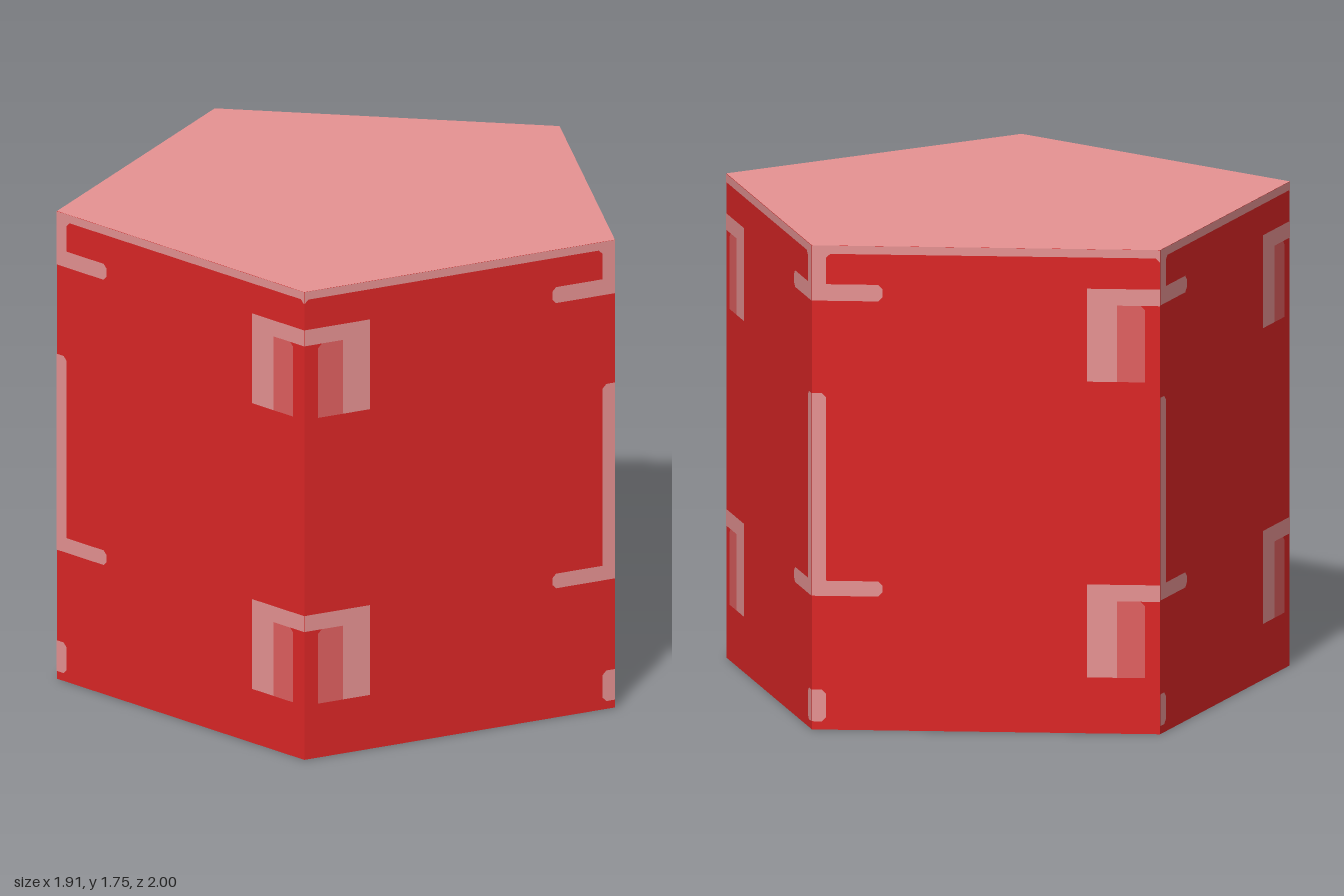
import * as THREE from 'three';

const R = 1.0515, H = 1.755, SIDES = 5;
const W = 2 * R * Math.sin(Math.PI / SIDES);      // width of one wall
const APOTHEM = R * Math.cos(Math.PI / SIDES);
const LIFT = 0.002;                               // painted plates sit just off the wall
const C = 0.015;                                  // small corner cut

const make = (name, color) => {
  const m = new THREE.MeshStandardMaterial({ color });
  m.name = name;
  return m;
};

export function createModel() {
  const red = make('red', 0xdc2626);
  const pale = make('pale pink', 0xe89393);
  const mid = make('rose', 0xe16060);

  const model = new THREE.Group();
  model.name = 'pentagonalBlock';
  const prism = new THREE.Group();
  prism.name = 'prism';
  prism.position.x = 0.951 - R;
  model.add(prism);

  // Solid body: red walls and base, pale top
  const bodyGeo = new THREE.CylinderGeometry(R, R, H, SIDES, 1, false, Math.PI / 2).toNonIndexed();
  bodyGeo.computeVertexNormals();
  const body = new THREE.Mesh(bodyGeo, [red, pale, red]);
  body.name = 'body';
  body.position.y = H / 2;
  prism.add(body);

  // Walls run round from the front right; dir = 1 puts the bracket edge on the left
  [-1, 1, 1, 1, -1].forEach((dir, i) => {
    const wall = new THREE.Group();
    wall.name = `wallMarkings${i + 1}`;
    wall.rotation.y = Math.PI / 2 - (i + 0.5) * 2 * Math.PI / SIDES;
    prism.add(wall);

    // Flat painted plate; u runs from the bracket edge across the wall
    const plate = (name, material, points) => {
      const shape = new THREE.Shape(points.map(([u, y]) => new THREE.Vector2(dir * (u - W / 2), y)));
      const mesh = new THREE.Mesh(new THREE.ShapeGeometry(shape), material);
      mesh.name = name;
      mesh.position.z = APOTHEM + LIFT;
      wall.add(mesh);
    };

    // Top trim joined to the upper bracket
    plate('topTrim', pale, [
      [0, H], [W, H], [W, 1.725 - C], [W - C, 1.725], [0.05 + C, 1.725], [0.05, 1.725 - C],
      [0.05, 1.615], [0.25 - C, 1.615], [0.25, 1.615 - C], [0.25, 1.555 + C],
      [0.25 - C, 1.555], [0, 1.555],
    ]);
    // Long bracket along the edge
    plate('edgeBracket', pale, [
      [0, 0.485], [0.25 - C, 0.485], [0.25, 0.485 + C], [0.25, 0.54 - C], [0.25 - C, 0.54],
      [0.05, 0.54], [0.05, 1.22 - C], [0.05 - C, 1.22], [0, 1.22],
    ]);
    // Short tab near the base
    plate('baseTab', pale, [
      [0, 0.03], [0.05 - C, 0.03], [0.05, 0.03 + C], [0.05, 0.145 - C], [0.05 - C, 0.145], [0, 0.145],
    ]);
    // Two hooked blocks on the opposite edge
    for (const top of [1.612, 0.54]) {
      const under = top - 0.06, foot = top - 0.337;
      plate('hook', pale, [
        [W, top], [W - 0.26, top], [W - 0.26, foot], [W - 0.152, foot],
        [W - 0.152, under], [W, under],
      ]);
      plate('hookFill', mid, [
        [W - 0.152, foot], [W - 0.054, foot], [W - 0.054, under - C],
        [W - 0.054 - C, under], [W - 0.152, under],
      ]);
    }
  });

  return model;
}
